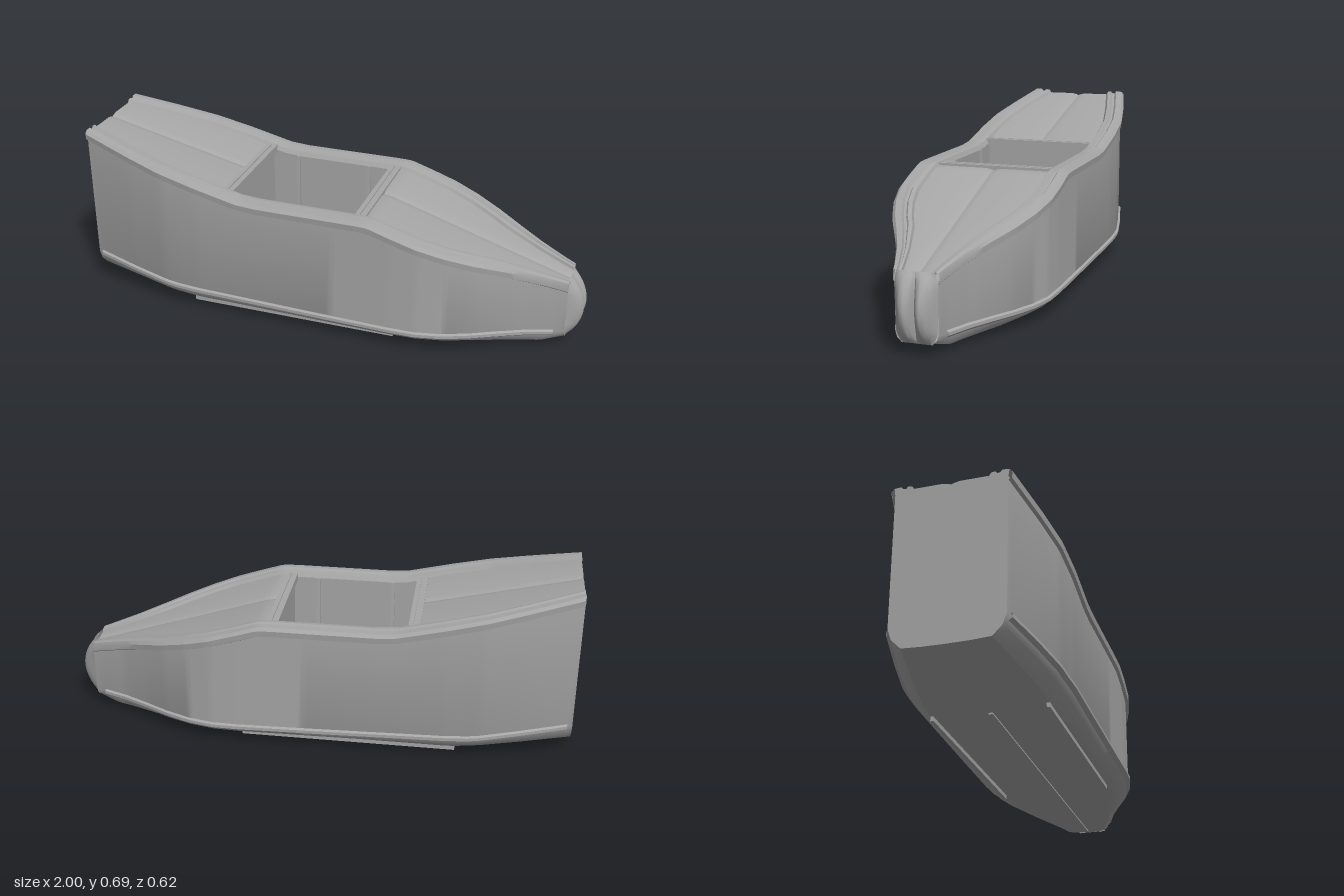
import * as THREE from 'three';
import { toCreasedNormals } from 'three/addons/utils/BufferGeometryUtils.js';

// Smooth-ended interpolation through [x, value] pairs
function along(table) {
  return (x) => {
    let i = 0;
    while (i < table.length - 2 && x > table[i + 1][0]) i++;
    const [a, b] = [table[i], table[i + 1]];
    return a[1] + (b[1] - a[1]) * (x - a[0]) / (b[0] - a[0]);
  };
}

const halfWidth = along([[-1, 0.205], [-0.8, 0.253], [-0.65, 0.283], [-0.5, 0.292], [0.3, 0.294], [0.4, 0.289],
  [0.5, 0.265], [0.6, 0.225], [0.7, 0.174], [0.8, 0.126], [0.9, 0.09], [0.94, 0.078]]);
const railTop = along([[-1, 0.693], [-0.32, 0.532], [-0.24, 0.526], [0.15, 0.526], [0.21, 0.524], [0.94, 0.29]]);
const keelY = along([[-1, 0.058], [-0.55, 0.012], [0.85, 0.012], [0.94, 0.038]]);
const chineY = along([[-1, 0.14], [-0.6, 0.095], [0, 0.08], [0.5, 0.07], [0.94, 0.07]]);

const AFT = -0.38, FORE = 0.16, BOW = 0.94, FLOOR = 0.05;
const stations = (a, b, n) => Array.from({ length: n + 1 }, (_, i) => a + (b - a) * i / n);
const inset = (x) => Math.min(1, halfWidth(x) / 0.2);

// Skin between rows of 3D points
function skin(rows, crease = 0.55) {
  const pos = [], index = [], n = rows[0].length;
  rows.forEach((r) => r.forEach((p) => pos.push(...p)));
  for (let i = 0; i < rows.length - 1; i++) {
    for (let j = 0; j < n - 1; j++) {
      const a = i * n + j, b = a + n;
      index.push(a, b, b + 1, a, b + 1, a + 1);
    }
  }
  const g = new THREE.BufferGeometry();
  g.setAttribute('position', new THREE.Float32BufferAttribute(pos, 3));
  g.setIndex(index);
  return toCreasedNormals(g, crease);
}

// Mirror a half section [z, y], starting on the centre line, into a full one
const full = (half) => [...half.slice(1).reverse().map(([z, y]) => [-z, y]), ...half];
const loft = (xs, section) => skin(xs.map((x) => section(x).map(([z, y]) => [x, y, z])));

function hullSection(x) {
  const w = halfWidth(x), b = keelY(x), c = chineY(x), t = railTop(x);
  return full([[0, b], [w * 0.4, b + 0.001], [w * 0.76, b + 0.005], [w * 0.93, b + (c - b) * 0.5],
    [w, c], [w, t - 0.03]]);
}

function railSection(x) {
  const w = halfWidth(x), t = railTop(x), k = inset(x);
  return [[w - 0.002, t - 0.045], [w + 0.012 * k, t - 0.038], [w + 0.015 * k, t - 0.014], [w + 0.004, t - 0.002],
    [w - 0.022 * k, t], [w - 0.03 * k, t - 0.01], [w - 0.04 * k, t - 0.01], [w - 0.046 * k, t - 0.002],
    [w - 0.062 * k, t - 0.004], [w - 0.072 * k, t - 0.022]];
}

// Deck with a shallow valley on the centre line
function deckSection(x) {
  const e = halfWidth(x) - 0.07 * inset(x), y = railTop(x) - 0.016, g = Math.min(0.03, e * 0.5);
  return full([[0, y - 0.008], [g * 0.4, y - 0.004], [g, y], [e, y]]).reverse();
}

export function createModel() {
  const model = new THREE.Group();
  const grey = new THREE.MeshStandardMaterial({ color: 0xa6a6a6, side: THREE.DoubleSide });
  grey.name = 'hull grey';
  const add = (name, geometry) => {
    const mesh = new THREE.Mesh(geometry, grey);
    mesh.name = name;
    model.add(mesh);
    return mesh;
  };

  // Hull and decks
  const length = stations(-1, BOW, 97);
  add('hull', loft(length, hullSection));
  add('aftDeck', loft(stations(-1, AFT, 16), deckSection));
  add('foreDeck', loft(stations(FORE, BOW, 40), deckSection));

  // Transom closing the stern
  const rim = [...hullSection(-1), ...railSection(-1).slice(3).map(([z, y]) => [z, y]),
    ...deckSection(-1), ...railSection(-1).slice(3).reverse().map(([z, y]) => [-z, y])];
  rim.push(rim[0]);
  add('transom', skin([rim.map(() => [-1, 0.4, 0]), rim.map(([z, y]) => [-1, y, z])]));

  // Stepped gunwale rails
  for (const s of [1, -1]) {
    add(s > 0 ? 'leftRail' : 'rightRail', loft(length, (x) => {
      const p = railSection(x).map(([z, y]) => [s * z, y]);
      return s > 0 ? p : p.reverse();
    }));
  }

  // Bow cap: two rounded lobes with a cleft between them
  const capWidth = along([[0, 0.058], [0.15, 0.076], [0.85, 0.08], [1, 0.066]]);
  add('bowCap', skin(stations(0, 1, 16).map((v) => stations(-1, 1, 24).map((u) => {
    const bulge = Math.pow(Math.max(0, Math.sin(Math.PI * v)), 0.7);
    const lobe = Math.max(0, Math.sin(Math.PI * Math.pow(Math.abs(u), 0.8)));
    return [BOW + bulge * (0.015 * (1 - u * u) + 0.048 * lobe), 0.038 + 0.25 * v, u * capWidth(v)];
  })), 0.9));

  // Open cockpit well
  add('cockpitWell', loft(stations(AFT, FORE, 12), (x) => {
    const e = halfWidth(x) - 0.07;
    return full([[0, FLOOR], [e - 0.03, FLOOR], [e, FLOOR + 0.04], [e, railTop(x) - 0.02]]).reverse();
  }));

  // Bulkheads with cross beams at each end of the cockpit
  for (const [name, x] of [['aft', AFT], ['fore', FORE]]) {
    const top = railTop(x) - 0.012, w = halfWidth(x) - 0.06;
    add(name + 'Bulkhead', new THREE.BoxGeometry(0.016, top - FLOOR, 2 * w)).position.set(x, (top + FLOOR) / 2, 0);
    for (const dx of [-0.013, 0.013]) {
      add(name + 'Beam', new THREE.BoxGeometry(0.018, 0.03, 2 * w)).position.set(x + dx, top - 0.01, 0);
    }
  }

  // Tapered side frames inside the cockpit
  const frame = new THREE.Shape([[0.235, 0.505], [0.215, 0.505], [0.2, 0.2], [0.14, FLOOR], [0.235, FLOOR]]
    .map(([z, y]) => new THREE.Vector2(z, y)));
  const frameGeometry = new THREE.ExtrudeGeometry(frame, { depth: 0.014, bevelEnabled: false });
  for (const x of [-0.267, 0.043]) {
    for (const s of [1, -1]) {
      const rib = add('sideFrame', frameGeometry);
      rib.rotation.y = -s * Math.PI / 2;
      rib.position.x = x + (s > 0 ? 0.014 : 0);
    }
  }

  // Chine strips and bottom runners
  for (const s of [1, -1]) {
    add('chineStrip', skin(stations(-0.98, 0.9, 60).map((x) => {
      const w = halfWidth(x), c = chineY(x);
      const p = [[w * 0.97, c - 0.016], [w + 0.009, c - 0.006], [w + 0.009, c + 0.006], [w - 0.001, c + 0.012]];
      const q = p.map(([z, y]) => [x, y, s * z]);
      return s > 0 ? q : q.reverse();
    })));
    add('bottomRunner', new THREE.BoxGeometry(0.85, 0.02, 0.012)).position.set(-0.13, 0.01, s * 0.215);
  }
  add('keelStrip', new THREE.BoxGeometry(1.38, 0.008, 0.016)).position.set(0.15, 0.01, 0);
  return model;
}
